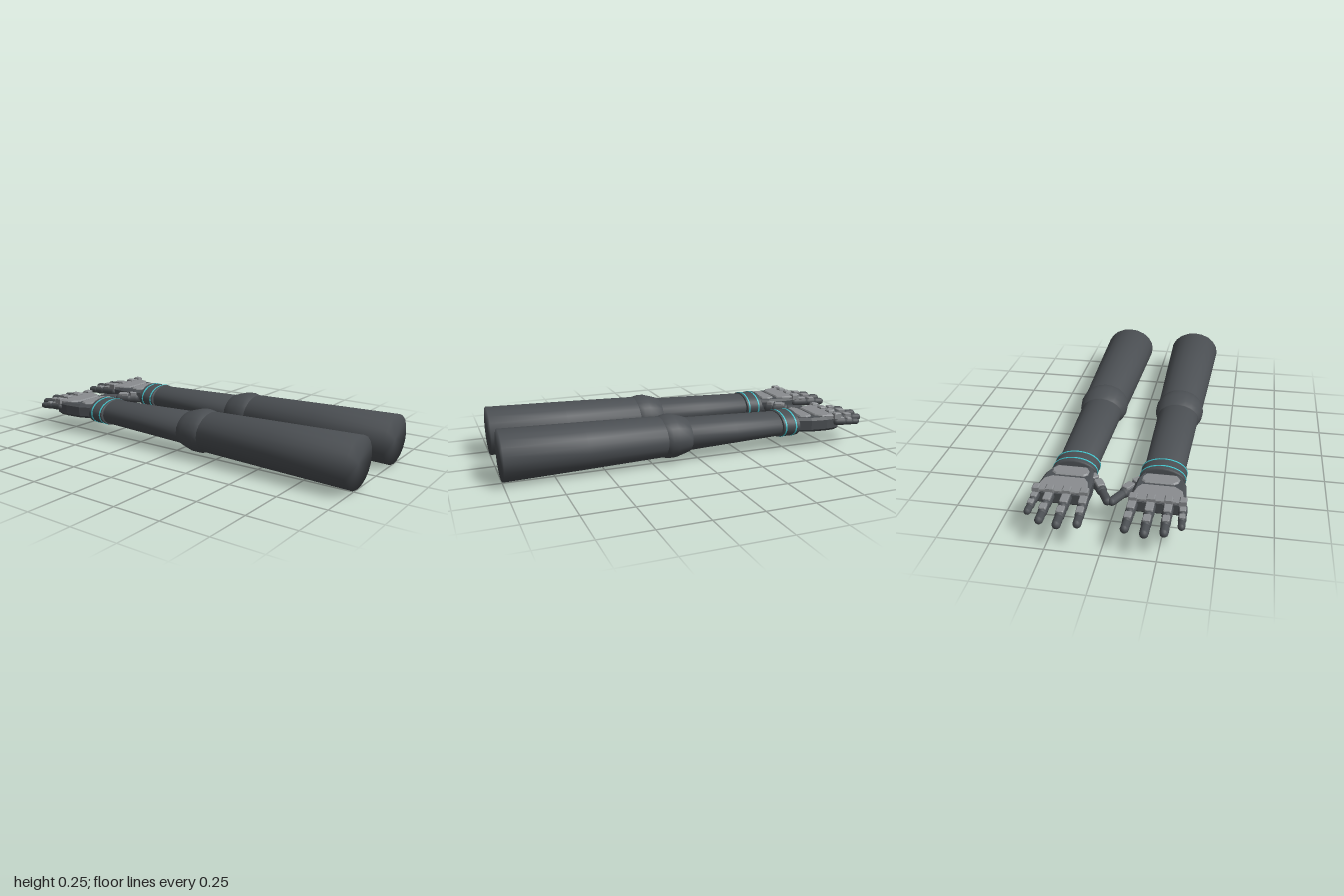
import * as THREE from 'three';

const mat = (name, color, side = THREE.FrontSide) => {
  const m = new THREE.MeshStandardMaterial({ color, side });
  m.name = name;
  return m;
};

// Closed elliptical loft along z; rings are [z, rx, ry], front to back
function loft(rings, seg = 20) {
  const pos = [], idx = [];
  for (const [z, rx, ry] of rings)
    for (let j = 0; j < seg; j++) {
      const t = (j / seg) * Math.PI * 2;
      pos.push(rx * Math.cos(t), ry * Math.sin(t), z);
    }
  const n = rings.length, front = n * seg, back = front + 1;
  pos.push(0, 0, rings[0][0], 0, 0, rings[n - 1][0]);
  for (let j = 0; j < seg; j++) {
    const k = (j + 1) % seg, e = (n - 1) * seg;
    for (let i = 0; i < n - 1; i++) {
      const a = i * seg + j, b = i * seg + k;
      idx.push(a, a + seg, b, b, a + seg, b + seg);
    }
    idx.push(front, j, k, back, e + k, e + j);
  }
  const g = new THREE.BufferGeometry();
  g.setAttribute('position', new THREE.Float32BufferAttribute(pos, 3));
  g.setIndex(idx);
  g.computeVertexNormals();
  return g;
}

// Bevelled plate from an outline of [x, z] points, spanning y0 to y1
function plate(points, y0, y1, bevel, s) {
  const shape = new THREE.Shape(points.map(([x, z]) => new THREE.Vector2(x * s, -z)));
  const g = new THREE.ExtrudeGeometry(shape, {
    depth: y1 - y0 - 2 * bevel, bevelEnabled: true, bevelThickness: bevel,
    bevelSize: bevel, bevelOffset: -bevel, bevelSegments: 1,
  });
  g.rotateX(-Math.PI / 2);
  g.translate(0, y0 + bevel, 0);
  return g;
}

export function createModel() {
  const dark = mat('darkFabric', 0x4b4f53);
  const grey = mat('greyArmour', 0x8a8d90);
  const cyan = mat('cyanGlow', 0x45c6cf);
  const model = new THREE.Group();
  model.name = 'arms';

  const add = (parent, name, geo, m) => {
    const mesh = new THREE.Mesh(geo, m);
    mesh.name = name;
    parent.add(mesh);
    return mesh;
  };

  // One finger bone: a capsule from a to b, with an optional armour pad on top
  function bone(parent, name, a, b, r, pad) {
    const A = new THREE.Vector3(...a), B = new THREE.Vector3(...b);
    const len = A.distanceTo(B);
    const g = new THREE.Group();
    g.name = name;
    g.position.copy(A).lerp(B, 0.5);
    g.lookAt(B);
    const cap = new THREE.CapsuleGeometry(r, Math.max(len - r, 0.005), 4, 10);
    cap.rotateX(Math.PI / 2);
    add(g, name + 'Core', cap, dark);
    if (pad) {
      const w = r * 0.75, l = len * 0.36, c = r * 0.2;
      const outline = [[-w, -l + c], [-w + c, -l], [w - c, -l], [w, -l + c],
        [w, l - c], [w - c, l], [-w + c, l], [-w, l - c]];
      add(g, name + 'Pad', plate(outline, r * 0.55, r * 1.2, 0.003, 1), grey);
    }
    parent.add(g);
  }

  for (const s of [1, -1]) {
    const arm = new THREE.Group();
    arm.name = s > 0 ? 'leftArm' : 'rightArm';
    model.add(arm);

    // Upper arm, elbow, forearm and cuff
    const limb = new THREE.Group();
    limb.name = 'limb';
    limb.position.set(0.214 * s, 0.126, 0);
    arm.add(limb);
    add(limb, 'upperArm', loft([[1, 0.148, 0.126], [0.6, 0.137, 0.116], [0.14, 0.123, 0.103]]), dark);
    add(limb, 'elbow', loft([[0.2, 0.115, 0.1], [0.195, 0.123, 0.105], [0.165, 0.13, 0.112],
      [0.13, 0.131, 0.112], [0.09, 0.125, 0.1], [0.055, 0.115, 0.088], [0.05, 0.105, 0.08]]), dark);
    add(limb, 'forearm', loft([[0.1, 0.113, 0.086], [-0.2, 0.106, 0.075], [-0.5, 0.099, 0.064]]), dark);
    const c = [0.111, 0.07];
    add(limb, 'cuff', loft([[-0.466, 0.105, 0.066], [-0.47, ...c], [-0.47, ...c],
      [-0.565, ...c], [-0.565, ...c], [-0.572, 0.103, 0.063]], 24), dark);
    for (const z of [-0.483, -0.542])
      add(limb, 'glowRing', loft([[z + 0.004, 0.113, 0.072], [z + 0.004, 0.113, 0.072],
        [z - 0.004, 0.113, 0.072], [z - 0.004, 0.113, 0.072]], 24), cyan);

    // Palm and its back plates
    const hand = new THREE.Group();
    hand.name = 'hand';
    arm.add(hand);
    add(hand, 'palm', plate([[0.125, -0.55], [0.3, -0.55], [0.335, -0.63], [0.345, -0.72],
      [0.34, -0.79], [0.1, -0.79], [0.095, -0.7], [0.102, -0.61]], 0.09, 0.167, 0.014, s), dark);
    add(hand, 'knucklePlate', plate([[0.135, -0.672], [0.29, -0.672], [0.325, -0.7], [0.34, -0.765],
      [0.33, -0.792], [0.105, -0.792], [0.1, -0.765], [0.115, -0.7]], 0.155, 0.176, 0.006, s), grey);
    add(hand, 'wristPlate', plate([[0.145, -0.582], [0.285, -0.582], [0.305, -0.61], [0.3, -0.64],
      [0.28, -0.656], [0.145, -0.656], [0.127, -0.64], [0.127, -0.61]], 0.155, 0.176, 0.006, s), grey);

    // Four fingers: [name, base x, tip x, tip z, radius]
    const fingers = [['index', 0.112, 0.104, -0.98, 0.024], ['middle', 0.193, 0.192, -1.0, 0.025],
      ['ring', 0.273, 0.276, -0.98, 0.024], ['little', 0.337, 0.345, -0.923, 0.02]];
    for (const [name, x0, x1, tip, r] of fingers) {
      const z0 = -0.77, z1 = tip + r * 0.5;
      const at = (f) => [s * (x0 + (x1 - x0) * f), 0.138 - 0.012 * f, z0 + (z1 - z0) * f];
      bone(hand, name + 'Proximal', at(0), at(0.45), r, true);
      bone(hand, name + 'Middle', at(0.45), at(0.74), r * 0.93, true);
      bone(hand, name + 'Tip', at(0.74), at(1), r * 0.84, false);
      const k = r * 0.8;
      add(hand, name + 'Knuckle', plate([[x0 - k, -0.762], [x0 + k, -0.762], [x0 + k, -0.8],
        [x0 - k, -0.8]], 0.15, 0.186, 0.005, s), grey);
    }

    // Thumb, reaching towards the other hand
    bone(hand, 'thumbBase', [0.125 * s, 0.12, -0.6], [0.088 * s, 0.121, -0.64], 0.031, true);
    bone(hand, 'thumbMiddle', [0.088 * s, 0.121, -0.625], [0.048 * s, 0.122, -0.695], 0.026, true);
    bone(hand, 'thumbTip', [0.048 * s, 0.122, -0.695], [0.006 * s, 0.122, -0.772], 0.021, false);
  }
  return model;
}
